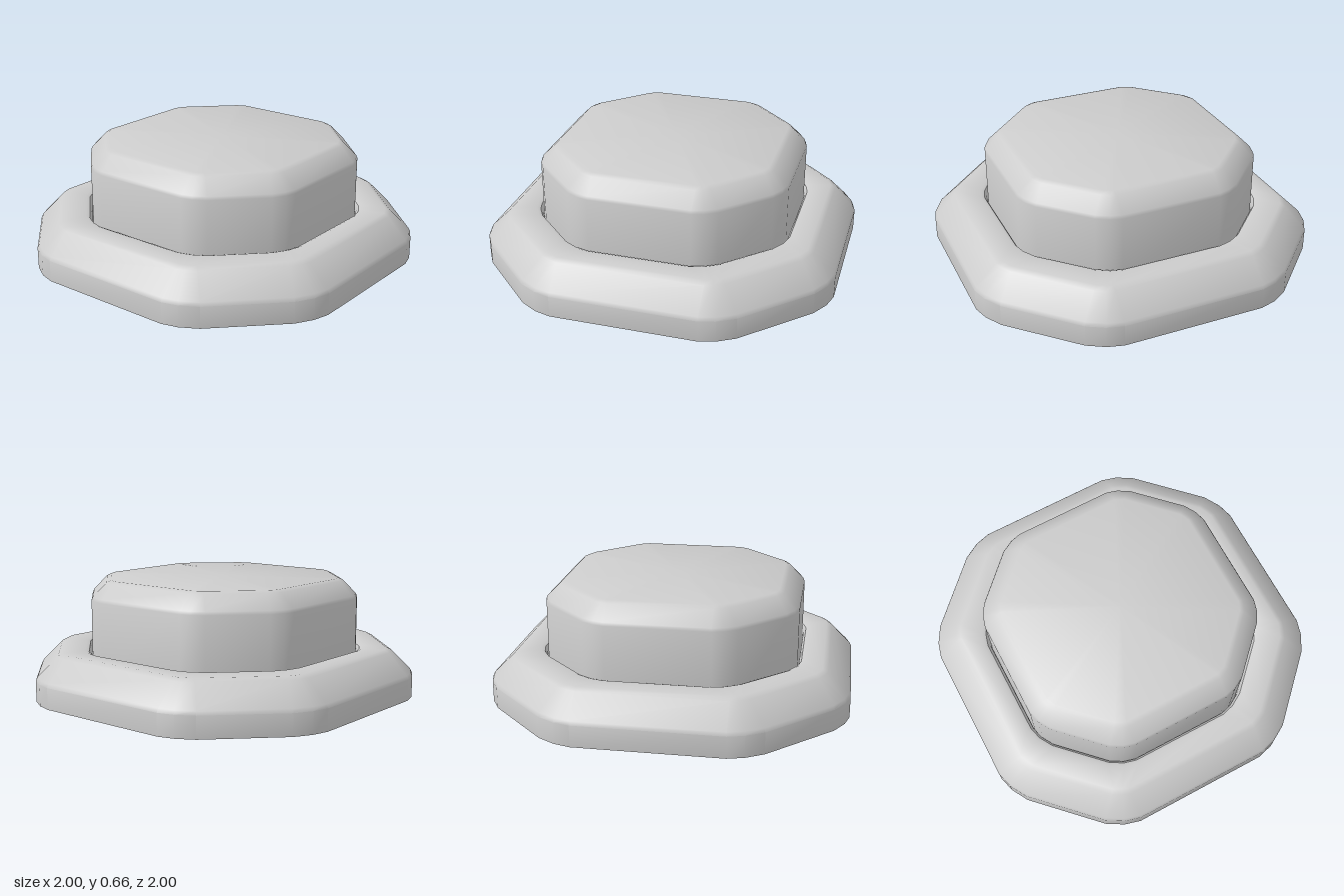
import * as THREE from 'three';
import { toCreasedNormals } from 'three/addons/utils/BufferGeometryUtils.js';

// One quarter of a soft-cornered octagon of half-width 1: x, z, angle of the outward normal
const QUARTER = [
  [1, 0.4, 0], [0.975, 0.49, 22.5], [0.92, 0.585, 45],
  [0.585, 0.92, 45], [0.49, 0.975, 67.5], [0.4, 1, 90],
];

// Octagon loop of a given size, pushed out along its normals by offset
function octagon([size, offset, y]) {
  const loop = [];
  for (let q = 0; q < 4; q++) {
    for (const [x, z, deg] of QUARTER) {
      const a = THREE.MathUtils.degToRad(deg);
      const p = new THREE.Vector2(x * size + Math.cos(a) * offset, z * size + Math.sin(a) * offset);
      p.rotateAround(new THREE.Vector2(), q * Math.PI / 2);
      loop.push([p.x, y, p.y]);
    }
  }
  return loop;
}

// Skin a list of [size, offset, y] sections
function loft(name, sections) {
  const n = QUARTER.length * 4;
  const geo = new THREE.BufferGeometry();
  geo.setAttribute('position', new THREE.Float32BufferAttribute(sections.flatMap(octagon).flat(), 3));
  const index = [];
  for (let i = 0; i < sections.length - 1; i++) {
    for (let j = 0; j < n; j++) {
      const a = i * n + j, b = i * n + (j + 1) % n;
      if (sections[i][0] > 0) index.push(a, a + n, b);
      if (sections[i + 1][0] > 0) index.push(b, a + n, b + n);
    }
  }
  geo.setIndex(index);
  const mesh = new THREE.Mesh(toCreasedNormals(geo, 0.52), new THREE.MeshStandardMaterial({ color: 0xcccccc }));
  mesh.name = name;
  return mesh;
}

export function createModel() {
  const group = new THREE.Group();
  group.name = 'octagonalButton';
  const inner = 0.705;

  // Ring: outer wall, chamfer, top, rounded lip, seat, flared opening underneath
  group.add(loft('baseRing', [
    [1, 0, 0], [1, 0, 0.12], [1, -0.01, 0.14], [1, -0.125, 0.255], [1, -0.155, 0.27],
    [inner, 0.04, 0.27], [inner, 0.02, 0.262], [inner, 0.006, 0.24], [inner, 0.002, 0.21],
    [inner, 0.002, 0.165], [inner, -0.045, 0.165], [inner, -0.045, 0.13],
    [inner, 0.085, 0], [1, 0, 0],
  ]));

  // Cap: flat underside, straight wall, chamfered top
  group.add(loft('buttonCap', [
    [0, 0, 0.165], [inner, 0, 0.165], [inner, 0, 0.555], [inner, -0.008, 0.573],
    [inner, -0.085, 0.651], [inner, -0.112, 0.663], [0, 0, 0.663],
  ]));
  return group;
}
